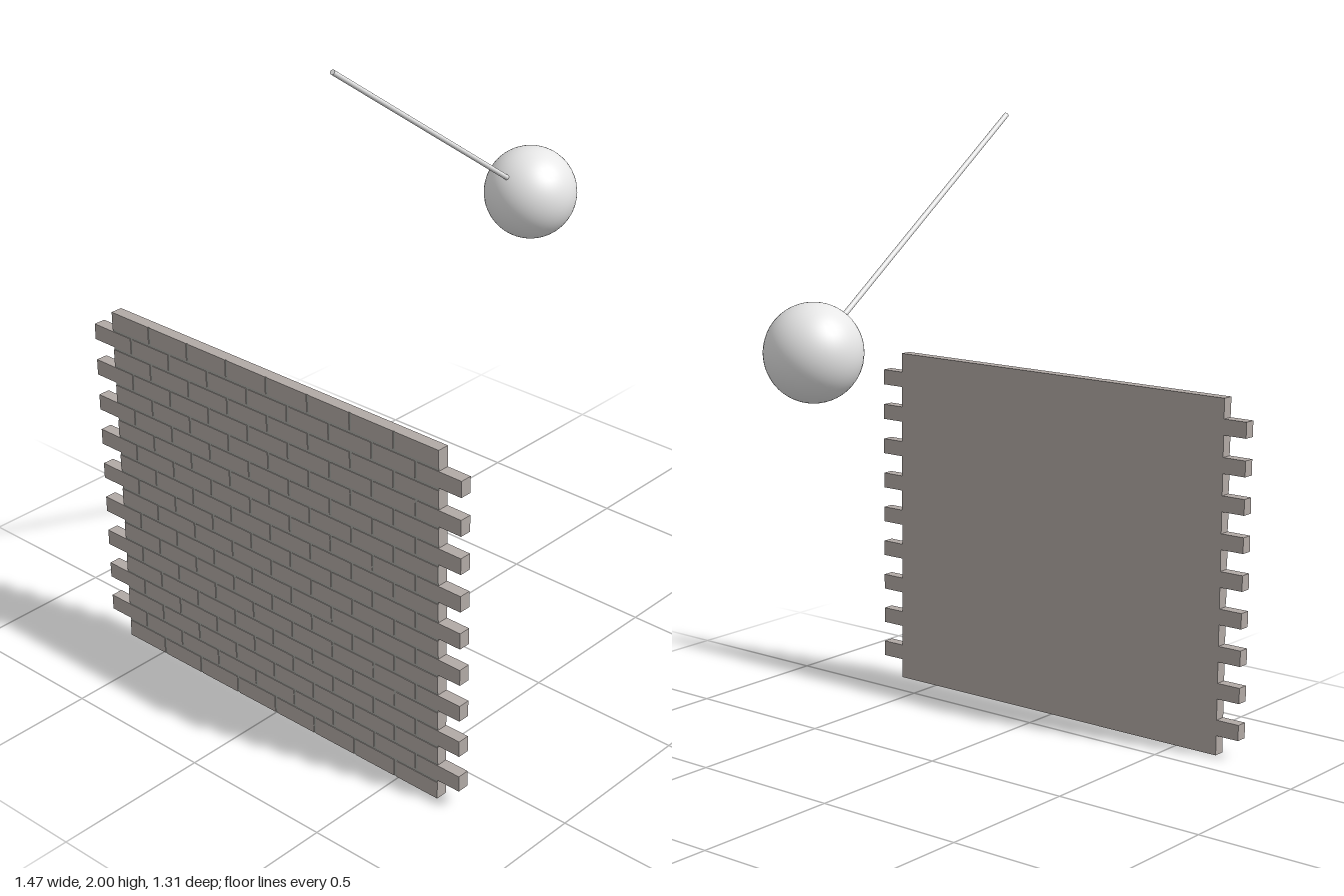
import * as THREE from 'three';

const ROWS = 19, PITCH = 0.163, HEIGHT = 1.148, ROW = HEIGHT / ROWS;
const BACK = 0.617, FRONT = 0.655, JOINT = 0.009, RELIEF = 0.003;

export function createModel() {
  const group = new THREE.Group();
  const stone = new THREE.MeshStandardMaterial({ color: 0xb2aaa6 });
  stone.name = 'warm stone grey';
  const mortar = new THREE.MeshStandardMaterial({ color: 0xa9a9a3 });
  mortar.name = 'mortar grey';
  const steel = new THREE.MeshStandardMaterial({ color: 0xeeeeee });
  steel.name = 'pale steel';

  const add = (parent, name, geometry, material) => {
    const mesh = new THREE.Mesh(geometry, material);
    mesh.name = name;
    parent.add(mesh);
    return mesh;
  };
  // Box given by its two opposite corners
  const box = (parent, name, material, x0, x1, y0, y1, z0, z1) =>
    add(parent, name, new THREE.BoxGeometry(x1 - x0, y1 - y0, z1 - z0), material)
      .position.set((x0 + x1) / 2, (y0 + y1) / 2, (z0 + z1) / 2);

  // Wall: solid core, toothed ends, recessed mortar and running-bond bricks
  const wall = new THREE.Group();
  wall.name = 'wall';
  group.add(wall);
  const inner = 4 * PITCH, outer = 4.5 * PITCH;
  const face = FRONT - RELIEF, mortarFace = face + 0.001;
  box(wall, 'wallCore', stone, -inner, inner, 0, HEIGHT, BACK, face);
  box(wall, 'mortar', mortar, -inner, inner, 0, HEIGHT, face, mortarFace);

  for (let row = 0; row < ROWS; row++) {
    const wide = row % 2 === 1;
    const count = wide ? 9 : 8;
    const half = wide ? outer : inner;
    const y0 = row * ROW + (row > 0 ? JOINT / 2 : 0);
    const y1 = (row + 1) * ROW - (row < ROWS - 1 ? JOINT / 2 : 0);
    // End teeth stick out on every other row
    if (wide) {
      box(wall, 'leftTooth', stone, inner, outer, y0, y1, BACK, face);
      box(wall, 'rightTooth', stone, -outer, -inner, y0, y1, BACK, face);
    }
    for (let i = 0; i < count; i++) {
      const x0 = -half + i * PITCH;
      box(wall, 'brick', stone,
        x0 + (i > 0 ? JOINT / 2 : 0), x0 + PITCH - (i < count - 1 ? JOINT / 2 : 0),
        y0, y1, face, FRONT);
    }
  }

  // Swinging ball on a slanted rod
  const centre = new THREE.Vector3(0.017, 1.361, -0.509);
  const top = new THREE.Vector3(0.017, 1.994, 0.378);
  add(group, 'ball', new THREE.SphereGeometry(0.146, 48, 32), steel).position.copy(centre);
  const along = top.clone().sub(centre);
  const rod = add(group, 'rod', new THREE.CylinderGeometry(0.008, 0.008, along.length(), 16), steel);
  rod.position.copy(centre).addScaledVector(along, 0.5);
  rod.quaternion.setFromUnitVectors(new THREE.Vector3(0, 1, 0), along.normalize());

  return group;
}
